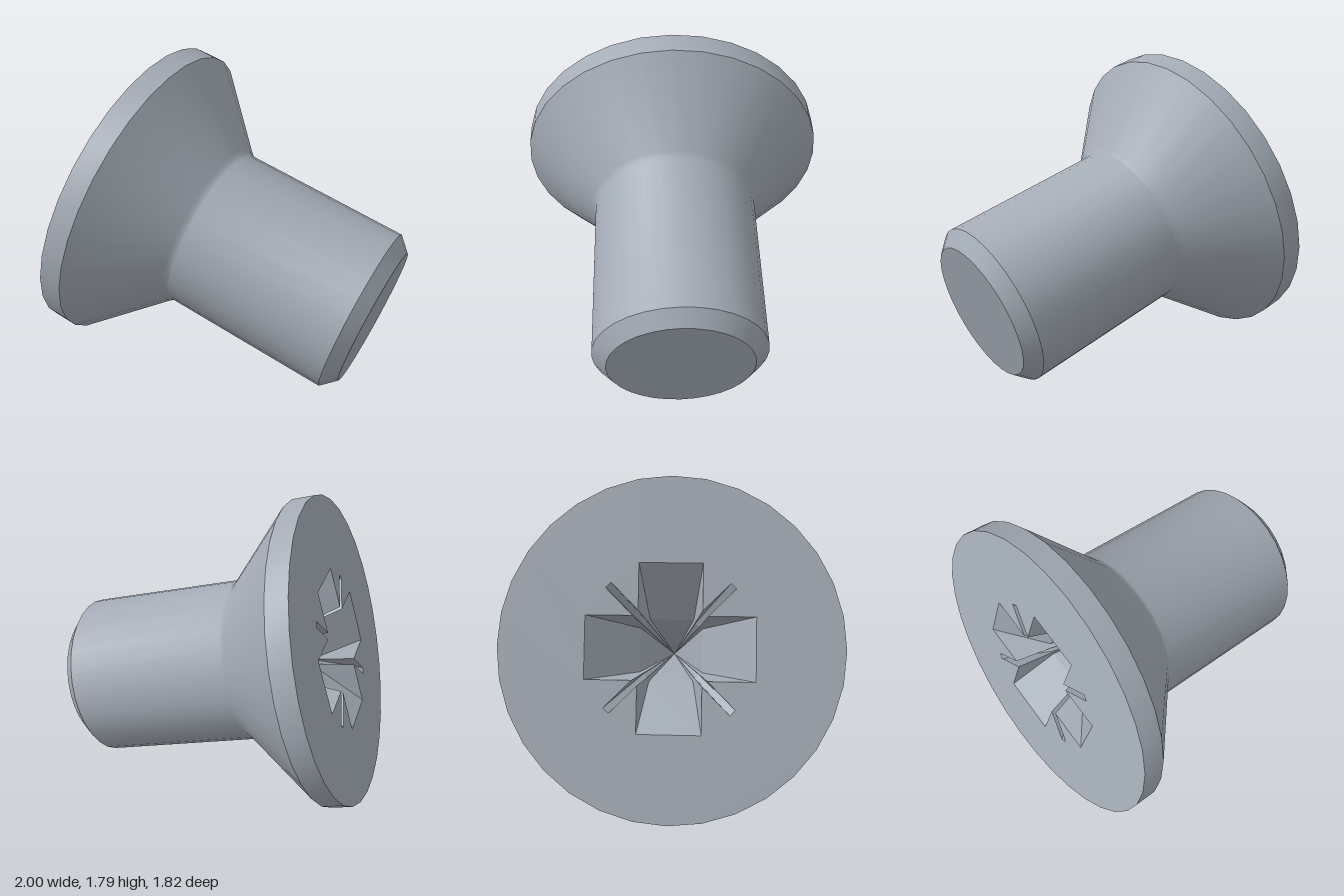
import * as THREE from 'three';
import { toCreasedNormals } from 'three/addons/utils/BufferGeometryUtils.js';

const SIDES = 32;
const HEAD_R = 0.915;

// Outline of the cross recess: four broad wings with a thin diagonal rib slot between each pair
function recessOutline(reach, half, ribReach, ribHalf) {
  const a = ribHalf * Math.SQRT2, b = ribHalf / Math.SQRT2;
  const quarter = [
    [reach, -half], [reach, half], [half + a, half],
    [ribReach + b, ribReach - b], [ribReach - b, ribReach + b], [half, half + a],
  ];
  const points = [];
  for (let k = 0; k < 4; k++) {
    for (const [x, y] of quarter) {
      points.push(new THREE.Vector2(x, y).rotateAround(new THREE.Vector2(), k * Math.PI / 2));
    }
  }
  return points;
}

// Ring-to-ring walls facing inward
function wallGeometry(top, zTop, bottom, zBottom) {
  const pos = [];
  top.forEach((p, i) => {
    const j = (i + 1) % top.length;
    const q = top[j], r = bottom[i], s = bottom[j];
    pos.push(p.x, p.y, zTop, q.x, q.y, zTop, r.x, r.y, zBottom);
    pos.push(q.x, q.y, zTop, s.x, s.y, zBottom, r.x, r.y, zBottom);
  });
  const g = new THREE.BufferGeometry();
  g.setAttribute('position', new THREE.Float32BufferAttribute(pos, 3));
  g.computeVertexNormals();
  return g;
}

// Conical drill point below the wings
function pointGeometry(ring, z, apexZ) {
  const pos = [];
  ring.forEach((p, i) => {
    const q = ring[(i + 1) % ring.length];
    pos.push(p.x, p.y, z, q.x, q.y, z, 0, 0, apexZ);
  });
  const g = new THREE.BufferGeometry();
  g.setAttribute('position', new THREE.Float32BufferAttribute(pos, 3));
  g.computeVertexNormals();
  return toCreasedNormals(g, 0.6);
}

export function createModel() {
  const steel = new THREE.MeshStandardMaterial({ color: 0xa3abb5 });
  steel.name = 'steel';
  const model = new THREE.Group();
  model.name = 'countersunkScrew';
  const add = (name, geometry) => {
    const mesh = new THREE.Mesh(geometry, steel);
    mesh.name = name;
    model.add(mesh);
  };

  // Body: chamfered tip, shank, small fillet, countersunk cone and rim
  const profile = [
    [0, -1.642], [0.411, -1.642], [0.49, -1.563], [0.49, -0.573],
    [0.4965, -0.556], [0.512, -0.533], [HEAD_R, -0.13], [HEAD_R, 0],
  ].map(([r, y]) => new THREE.Vector2(r, y));
  const body = new THREE.LatheGeometry(profile, SIDES);
  body.rotateX(Math.PI / 2);
  add('shankAndHead', toCreasedNormals(body, 0.5));

  // Flat head face with the recess cut out
  const mouth = recessOutline(0.45, 0.17, 0.33, 0.02);
  const floor = recessOutline(0.17, 0.12, 0.14, 0.015);
  const rim = [];
  for (let i = 0; i < SIDES; i++) {
    const t = i / SIDES * Math.PI * 2;
    rim.push(new THREE.Vector2(HEAD_R * Math.cos(t), HEAD_R * Math.sin(t)));
  }
  const face = new THREE.Shape(rim);
  face.holes.push(new THREE.Path([...mouth].reverse()));
  add('headFace', new THREE.ShapeGeometry(face));

  // Recess
  add('recessWalls', wallGeometry(mouth, 0, floor, -0.22));
  add('recessPoint', pointGeometry(floor, -0.22, -0.65));

  // Tilt: local +z is the outward direction of the head
  const z = new THREE.Vector3(-0.9384, 0.2815, -0.1998).normalize();
  const x = new THREE.Vector3(0, 1, 0).cross(z).normalize();
  const y = z.clone().cross(x);
  model.quaternion.setFromRotationMatrix(new THREE.Matrix4().makeBasis(x, y, z));
  model.position.set(-0.684, 0.918, -0.012);

  const root = new THREE.Group();
  root.name = 'screw';
  root.add(model);
  return root;
}
